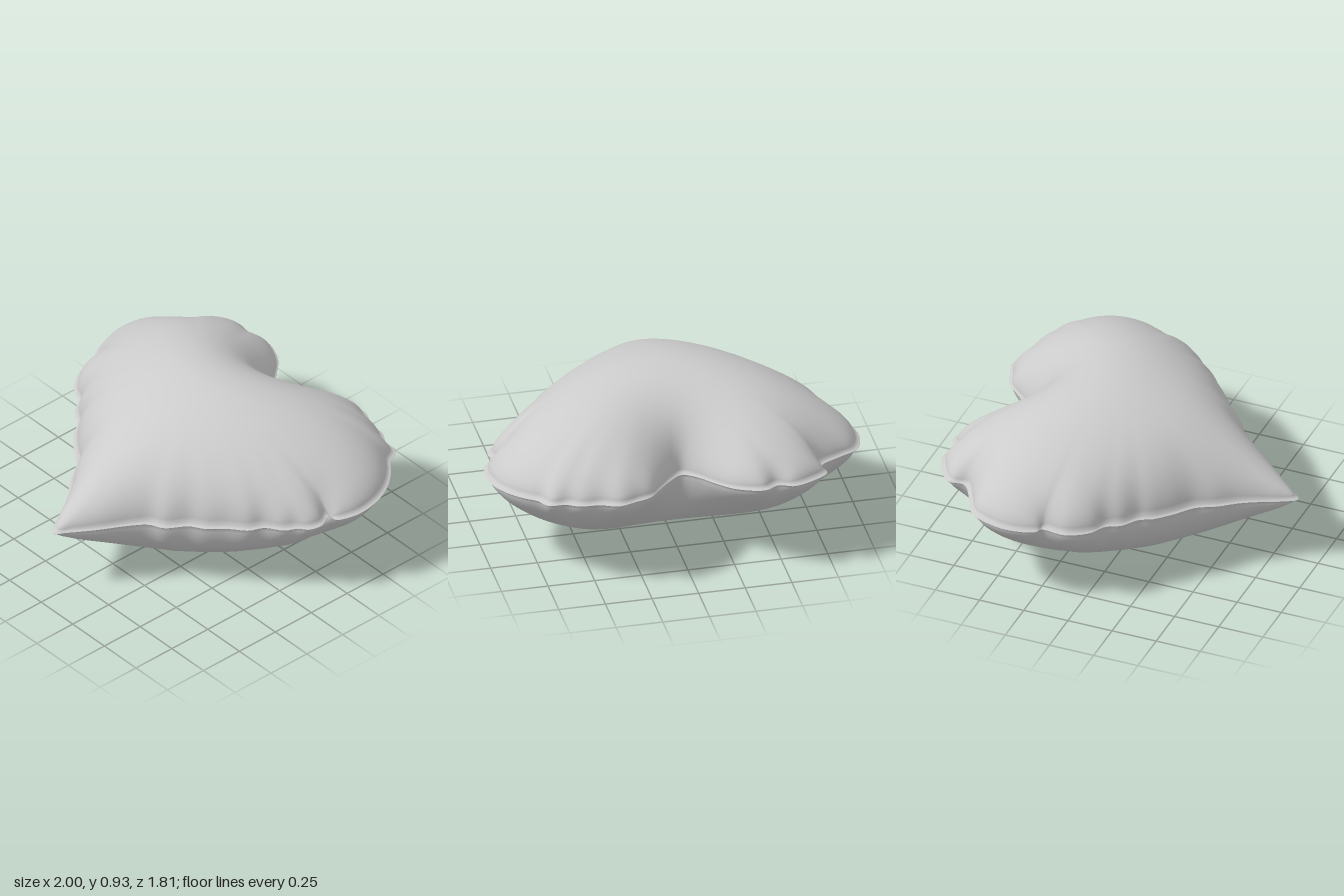
import * as THREE from 'three';

// Scalloped seam outline as x, z pairs, from the tip round the left side
const OUTLINE = [
  -0.02, 0.9, 0.03, 0.84, 0.12, 0.72, 0.22, 0.57, 0.28, 0.5, 0.36, 0.46, 0.44, 0.36, 0.52, 0.31,
  0.6, 0.23, 0.69, 0.16, 0.73, 0.09, 0.82, 0.03, 0.86, -0.03, 0.91, -0.07, 0.93, -0.14, 0.9, -0.21,
  0.95, -0.22, 0.99, -0.3, 1, -0.38, 0.98, -0.5, 0.93, -0.6, 0.86, -0.68, 0.8, -0.73, 0.76, -0.8,
  0.67, -0.81, 0.6, -0.85, 0.5, -0.86, 0.4, -0.9, 0.3, -0.87, 0.22, -0.84, 0.15, -0.76, 0.08, -0.68,
  0, -0.62, -0.08, -0.68, -0.15, -0.77, -0.24, -0.86, -0.38, -0.91, -0.46, -0.87, -0.54, -0.9,
  -0.65, -0.86, -0.74, -0.79, -0.73, -0.7, -0.85, -0.62, -0.95, -0.56, -1, -0.4, -0.98, -0.27,
  -0.94, -0.2, -0.91, -0.19, -0.9, -0.06, -0.82, 0.05, -0.73, 0.1, -0.68, 0.17, -0.59, 0.23,
  -0.55, 0.29, -0.46, 0.37, -0.35, 0.45, -0.28, 0.55, -0.2, 0.64, -0.12, 0.76, -0.08, 0.83,
];
const N = 400;              // samples round the outline
const RINGS = 36;           // rings from the middle to the seam
const CENTRE = new THREE.Vector3(0, 0, -0.1);
const PUFF = 0.454;         // height of each panel above the flange
const FLANGE = 0.022;       // width of the seam flange
const FLANGE_HALF = 0.007;  // half its thickness at the panel

const seamY = (z) => 0.458 - 0.073 * z; // the seam plane tilts down to the tip
const ringT = (r) => 1 - (1 - r / RINGS) ** 1.6; // rings crowd towards the seam

// Outline points relative to the centre
function sampleOutline() {
  const points = [];
  for (let i = 0; i < OUTLINE.length; i += 2) {
    points.push(new THREE.Vector3(OUTLINE[i], 0, OUTLINE[i + 1]));
  }
  const curve = new THREE.CatmullRomCurve3(points, true, 'centripetal');
  curve.arcLengthDivisions = 1200;
  return curve.getSpacedPoints(N).slice(0, N).map((p) => p.sub(CENTRE));
}

// Weighted average of a closed loop of points over a window round index i
function smoothed(loop, i, width) {
  const sum = new THREE.Vector3();
  const reach = Math.ceil(width);
  let total = 0;
  for (let k = -reach; k <= reach; k++) {
    const weight = 1 - Math.abs(k) / (width + 1);
    if (weight <= 0) continue;
    sum.addScaledVector(loop[(i + k + N) % N], weight);
    total += weight;
  }
  return sum.divideScalar(total);
}

// Triangles of a fan round the centre followed by ring strips
function ringTriangles(rings) {
  const index = [];
  for (let i = 0; i < N; i++) {
    const j = (i + 1) % N;
    index.push(0, 1 + i, 1 + j);
    for (let r = 0; r < rings - 1; r++) {
      const a = 1 + r * N;
      const b = a + N;
      index.push(a + i, b + i, b + j, a + i, b + j, a + j);
    }
  }
  return index;
}

// Deflection of a membrane held at the last ring under even pressure, scaled to 0..1
// (finite elements solved by conjugate gradients)
function inflate(points) {
  const count = points.length;
  const free = count - N;
  const index = ringTriangles(RINGS);
  const weights = new Float64Array(index.length);
  const load = new Float64Array(count);
  const diagonal = new Float64Array(count);
  const e = new THREE.Vector3();
  const f = new THREE.Vector3();
  for (let k = 0; k < index.length; k++) {
    const base = k - (k % 3);
    const [a, b, c] = [index[k], index[base + ((k + 1) % 3)], index[base + ((k + 2) % 3)]];
    e.subVectors(points[b], points[a]);
    f.subVectors(points[c], points[a]);
    const cross = Math.max(Math.abs(e.x * f.z - e.z * f.x), 1e-8);
    weights[k] = e.dot(f) / cross / 2;
    load[a] += cross / 6;
    diagonal[b] += weights[k];
    diagonal[c] += weights[k];
  }
  const apply = (v, out) => {
    out.fill(0);
    for (let k = 0; k < index.length; k++) {
      const base = k - (k % 3);
      const b = index[base + ((k + 1) % 3)];
      const c = index[base + ((k + 2) % 3)];
      const flow = weights[k] * (v[b] - v[c]);
      out[b] += flow;
      out[c] -= flow;
    }
  };
  const u = new Float64Array(count);
  const residual = load.slice();
  const step = new Float64Array(count);
  const image = new Float64Array(count);
  let previous = 0;
  let first = 0;
  for (let n = 0; n < 3000; n++) {
    let rho = 0;
    for (let i = 0; i < free; i++) rho += residual[i] ** 2 / diagonal[i];
    first = first || rho;
    if (rho < first * 1e-13) break;
    const beta = previous ? rho / previous : 0;
    for (let i = 0; i < free; i++) step[i] = residual[i] / diagonal[i] + beta * step[i];
    apply(step, image);
    let energy = 0;
    for (let i = 0; i < free; i++) energy += step[i] * image[i];
    for (let i = 0; i < free; i++) {
      u[i] += (rho / energy) * step[i];
      residual[i] -= (rho / energy) * image[i];
    }
    previous = rho;
  }
  const peak = u.reduce((m, v) => Math.max(m, v), 0);
  return u.map((v) => Math.max(0, v) / peak);
}

// Plan positions and heights above the seam, shared by both panels
function cushionGrid(outline) {
  const body = outline.map((p) => p.clone().setLength(p.length() - FLANGE));
  // Short puckers run inward from the dents in the outline
  const pucker = outline.map((p, i) =>
    THREE.MathUtils.clamp(p.length() - smoothed(outline, i, 14).length(), -0.025, 0.02));
  const points = [new THREE.Vector3()];
  for (let r = 1; r <= RINGS; r++) {
    const t = ringT(r);
    for (let i = 0; i < N; i++) points.push(smoothed(body, i, 60 * (1 - t)).multiplyScalar(t));
  }
  const heights = Array.from(inflate(points), (v, k) => {
    // The tip is rounder in section, the lobes flatter
    const round = 0.5 + 0.4 * THREE.MathUtils.smoothstep(points[k].z + CENTRE.z, -0.3, 0.3);
    const t = k ? ringT(1 + Math.floor((k - 1) / N)) : 0;
    const crease = k ? 1 + 5 * pucker[(k - 1) % N] * t ** 9 : 1;
    return PUFF * (round * Math.sqrt(v) + (1 - round) * v) * crease + FLANGE_HALF;
  });
  // Flange tapering to the seam line
  for (const [inset, h] of [[0.004, 0.004], [0, 0]]) {
    for (const p of outline) {
      points.push(p.clone().setLength(p.length() - inset));
      heights.push(h);
    }
  }
  return { points, heights };
}

// One inflated panel with its half of the flange; side is 1 or -1
function panelGeometry({ points, heights }, side) {
  const positions = points.flatMap((p, k) => {
    const z = p.z + CENTRE.z;
    return [p.x, seamY(z) + side * heights[k], z];
  });
  const index = ringTriangles(RINGS + 2);
  if (side < 0) index.reverse();
  const geometry = new THREE.BufferGeometry();
  geometry.setAttribute('position', new THREE.Float32BufferAttribute(positions, 3));
  geometry.setIndex(index);
  geometry.computeVertexNormals();
  return geometry;
}

export function createModel() {
  const group = new THREE.Group();
  group.name = 'heartBalloon';
  const material = new THREE.MeshStandardMaterial({ color: 0xcccccc, side: THREE.DoubleSide });
  const grid = cushionGrid(sampleOutline());
  for (const [name, side] of [['upperPanel', 1], ['lowerPanel', -1]]) {
    const mesh = new THREE.Mesh(panelGeometry(grid, side), material);
    mesh.name = name;
    group.add(mesh);
  }
  return group;
}
